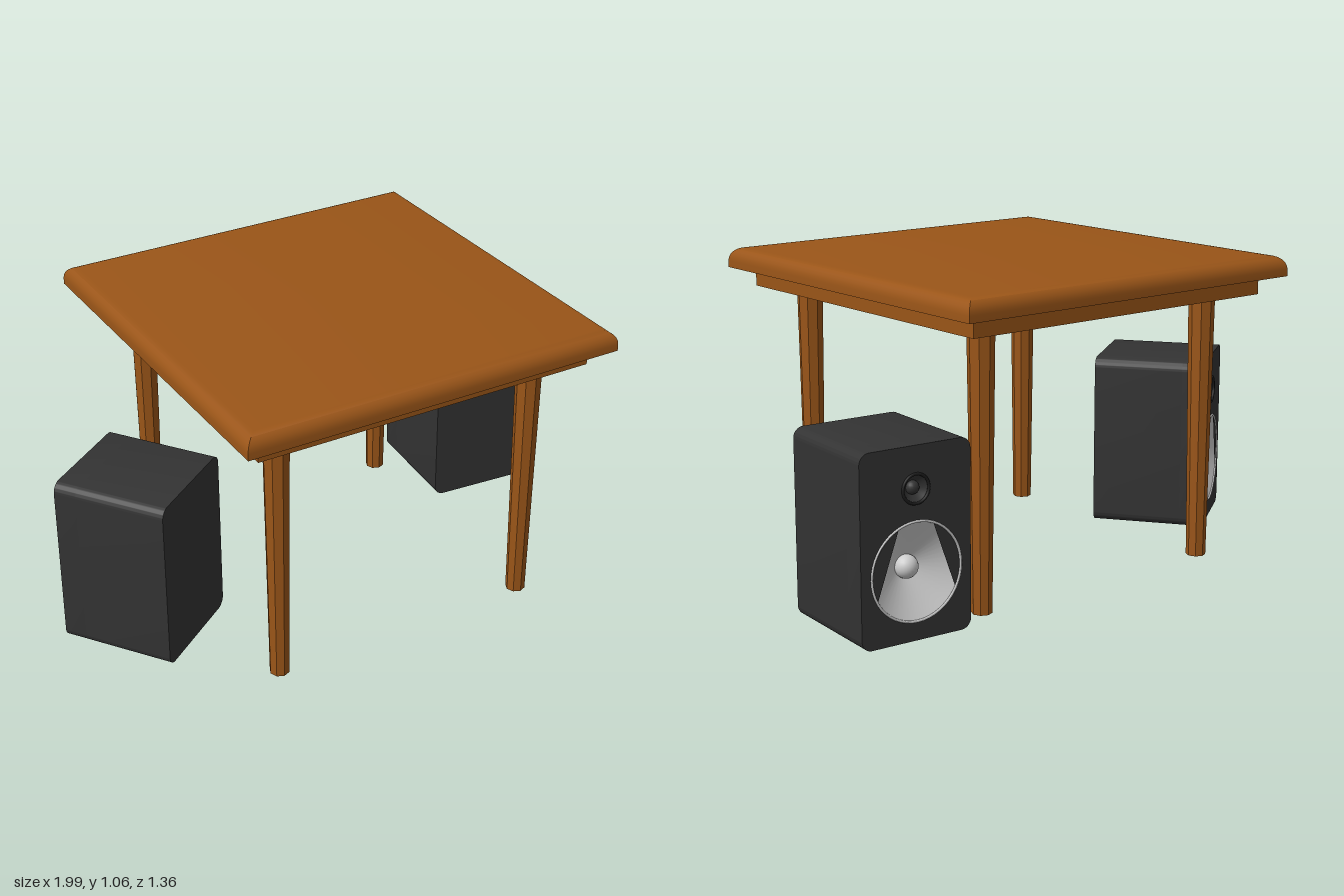
import * as THREE from 'three';
import { toCreasedNormals } from 'three/addons/utils/BufferGeometryUtils.js';

const paint = (color, extra = {}) => {
  const m = new THREE.MeshStandardMaterial({ color, ...extra });
  return m;
};
const wood = paint(0x9a5518);
const black = paint(0x333333);
const darker = paint(0x1c1c1c, { side: THREE.DoubleSide });
const light = paint(0xcccccc, { side: THREE.DoubleSide });

function add(parent, name, geometry, material, x = 0, y = 0, z = 0) {
  const mesh = new THREE.Mesh(geometry, material);
  mesh.name = name;
  mesh.position.set(x, y, z);
  parent.add(mesh);
  return mesh;
}

// Square slab with an edge profile given as [half width, height] pairs
function squareLathe(profile) {
  const pts = profile.map(([r, y]) => new THREE.Vector2(r * Math.SQRT2, y));
  const geo = new THREE.LatheGeometry(pts, 4).rotateY(Math.PI / 4);
  return toCreasedNormals(geo, 0.6);
}

function makeTable() {
  const table = new THREE.Group();
  table.name = 'table';

  // Top with a square lower edge and a rounded upper edge
  const edge = [[0, 0.987], [0.678, 0.987]];
  for (let i = 0; i <= 6; i++) {
    const a = (i / 6) * Math.PI / 2;
    edge.push([0.633 + 0.045 * Math.cos(a), 1.01 + 0.047 * Math.sin(a)]);
  }
  edge.push([0, 1.057]);
  add(table, 'tableTop', squareLathe(edge), wood);
  add(table, 'apron', new THREE.BoxGeometry(1.22, 0.063, 1.22), wood, 0, 0.9555, 0);

  // Tapered eight-sided legs
  const legGeo = toCreasedNormals(new THREE.CylinderGeometry(0.045, 0.034, 0.925, 8), 0.3);
  for (const x of [-1, 1]) for (const z of [-1, 1])
    add(table, 'leg', legGeo, wood, x * 0.477, 0.4625, z * 0.477);
  return table;
}

const W = 0.391, H = 0.615, D = 0.4, RECESS = 0.08;
const WOOFER = { y: 0.22, r: 0.158 }, TWEETER = { y: 0.48, r: 0.046 };

function cabinetShape() {
  const s = new THREE.Shape(), w = W / 2, r = 0.035, q = Math.PI / 2;
  s.absarc(w - r, r, r, -q, 0);
  s.absarc(w - r, H - r, r, 0, q);
  s.absarc(r - w, H - r, r, q, 2 * q);
  s.absarc(r - w, r, r, 2 * q, 3 * q);
  s.closePath();
  return s;
}

function extrude(shape, depth) {
  const geo = new THREE.ExtrudeGeometry(shape, { depth, bevelEnabled: false, curveSegments: 10 });
  return toCreasedNormals(geo, 0.6);
}

function lathe(points, y, z) {
  const geo = new THREE.LatheGeometry(points.map(p => new THREE.Vector2(...p)), 40);
  return geo.rotateX(Math.PI / 2).translate(0, y, z);
}

// Loudspeaker whose drivers face local +z
function makeSpeaker(name, x, z, turn) {
  const speaker = new THREE.Group();
  speaker.name = name;
  const face = D / 2;

  add(speaker, 'cabinet', extrude(cabinetShape(), D - RECESS), black, 0, 0, -face);
  const front = cabinetShape();
  for (const d of [WOOFER, TWEETER])
    front.holes.push(new THREE.Path().absarc(0, d.y, d.r, 0, Math.PI * 2, true));
  add(speaker, 'baffle', extrude(front, RECESS), black, 0, 0, face - RECESS);

  // Woofer: recessed cone, dust cap, thin rim
  add(speaker, 'wooferCone', lathe([[0, -0.072], [0.035, -0.07], [WOOFER.r, 0]], WOOFER.y, face), light);
  add(speaker, 'dustCap', new THREE.SphereGeometry(0.038, 24, 16), light, 0, WOOFER.y, face - 0.062);
  add(speaker, 'wooferRim', new THREE.TorusGeometry(WOOFER.r, 0.004, 8, 48), light, 0, WOOFER.y, face);

  // Dark side panels covering the left and right of the cone
  for (const flip of [0, Math.PI]) {
    const a = flip ? Math.PI - 1.18 : -0.5, b = flip ? Math.PI + 0.5 : 1.18;
    const panel = new THREE.Shape().absarc(0, 0, WOOFER.r, a, b);
    add(speaker, 'wooferSidePanel', new THREE.ShapeGeometry(panel, 20),
      black, 0, WOOFER.y, face - 0.001);
  }

  // Tweeter: shallow dark bowl, dome, rim
  add(speaker, 'tweeterBowl', lathe([[0, -0.025], [0.02, -0.025], [TWEETER.r, 0]], TWEETER.y, face), black)
    .material = paint(0x333333, { side: THREE.DoubleSide });
  add(speaker, 'tweeterDome', new THREE.SphereGeometry(0.022, 20, 12), black, 0, TWEETER.y, face - 0.022);
  add(speaker, 'tweeterRim', new THREE.TorusGeometry(TWEETER.r, 0.005, 8, 36), darker, 0, TWEETER.y, face);

  speaker.position.set(x, 0, z);
  speaker.rotation.y = Math.PI + turn;
  return speaker;
}

export function createModel() {
  const model = new THREE.Group();
  model.name = 'tableWithSpeakers';
  const table = makeTable();
  table.position.x = 0.017;
  model.add(table);
  model.add(makeSpeaker('leftSpeaker', 0.785, -0.35, -0.076));
  model.add(makeSpeaker('rightSpeaker', -0.724, 0, 0.628));
  return model;
}
